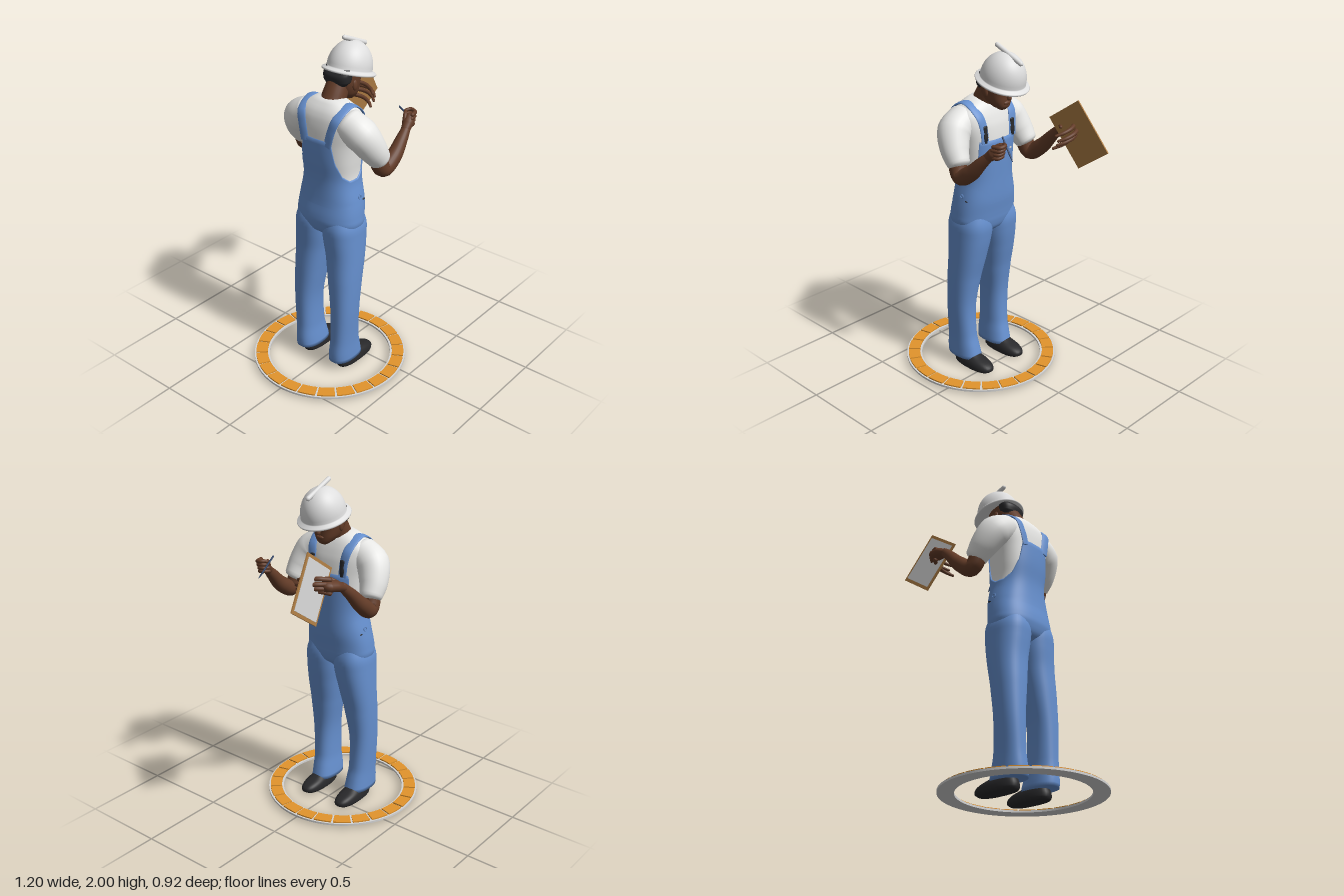
import * as THREE from 'three';

const mat = (name, color) => Object.assign(new THREE.MeshStandardMaterial({ color }), { name });
const M = {
  denim: mat('denim blue', 0x6690cf), shirt: mat('shirt white', 0xe8e8e6), skin: mat('skin brown', 0x633c28),
  hat: mat('hat white', 0xdedede), orange: mat('ring orange', 0xe2942c), grey: mat('light grey', 0xd4d4d4),
  dark: mat('black', 0x28282a), board: mat('board brown', 0xae7d44), pen: mat('pen blue', 0x33486c),
};
M.denim.side = THREE.DoubleSide;
const V = (x, y, z) => new THREE.Vector3(x, y, z);

function add(parent, name, geometry, material) {
  const m = new THREE.Mesh(geometry, material);
  m.name = name;
  parent.add(m);
  return m;
}

// Smooth surface from closed rings of points
function skinRings(rings) {
  const n = rings[0].length, pos = [], idx = [];
  rings.forEach(r => r.forEach(p => pos.push(p.x, p.y, p.z)));
  for (let i = 0; i < rings.length - 1; i++) for (let j = 0; j < n; j++) {
    const a = i * n + j, c = i * n + (j + 1) % n;
    idx.push(a, a + n, c, a + n, c + n, c);
  }
  const g = new THREE.BufferGeometry();
  g.setAttribute('position', new THREE.Float32BufferAttribute(pos, 3));
  g.setIndex(idx);
  g.computeVertexNormals();
  return g;
}

// Smoothly interpolated row [y, xBack, xFront, zMin, zMax] at height y
function rowAt(rows, y) {
  let i = 0;
  while (i < rows.length - 2 && y > rows[i + 1][0]) i++;
  const at = k => rows[Math.max(0, Math.min(rows.length - 1, k))];
  const t = Math.min(1, Math.max(0, (y - rows[i][0]) / (rows[i + 1][0] - rows[i][0])));
  return rows[i].map((b, k) => {
    const c = at(i + 1)[k], a = at(i - 1)[k], d = at(i + 2)[k];
    return b + 0.5 * t * (c - a + t * (2 * a - 5 * b + 4 * c - d + t * (3 * (b - c) + d - a)));
  });
}

const POW = 0.82;
const pw = c => Math.sign(c) * Math.abs(c) ** POW;
function onRow(rows, y, th, grow = 0) {
  const [, xb, xf, z0, z1] = rowAt(rows, y);
  return V((xb + xf) / 2 + ((xf - xb) / 2 + grow) * pw(Math.cos(th)), y,
    (z0 + z1) / 2 + ((z1 - z0) / 2 + grow) * pw(Math.sin(th)));
}

// Upright capped loft through rows
function loft(rows, steps = 32, cols = 40) {
  const y0 = rows[0][0], y1 = rows[rows.length - 1][0], rings = [];
  for (let i = 0; i <= steps; i++) {
    const y = y0 + (y1 - y0) * i / steps;
    rings.push(Array.from({ length: cols }, (_, j) => onRow(rows, y, j / cols * Math.PI * 2)));
  }
  const close = r => {
    const c = r.reduce((s, p) => s.add(p), V(0, 0, 0)).divideScalar(cols);
    return r.map(() => c.clone());
  };
  return skinRings([close(rings[0]), ...rings, close(rings[steps])]);
}

// Tapered sweep through [x, y, z, radius]; cap sets end roundness, flat squashes the section
function limb(pts, { cap = 1, flat = 1, cols = 16, steps = 6 } = {}) {
  const curve = new THREE.CatmullRomCurve3(pts.map(p => V(p[0], p[1], p[2])));
  const n = (pts.length - 1) * steps, rings = [];
  let u = Math.abs(curve.getTangent(0).z) > 0.85 ? V(0, 1, 0) : V(0, 0, 1);
  const ring = (c, t, r) => {
    u = u.clone().addScaledVector(t, -u.dot(t)).normalize();
    const v = u.clone().cross(t);
    rings.push(Array.from({ length: cols }, (_, j) => {
      const a = j / cols * Math.PI * 2;
      return c.clone().addScaledVector(u, r * Math.cos(a)).addScaledVector(v, r * flat * Math.sin(a));
    }));
  };
  const end = (s, dir, r, angles) => angles.forEach(d => {
    const a = d * Math.PI / 180, t = curve.getTangent(s);
    ring(curve.getPoint(s).addScaledVector(t, dir * cap * r * flat * Math.sin(a)), t, r * Math.cos(a));
  });
  end(0, -1, pts[0][3], [90, 60, 30]);
  for (let i = 0; i <= n; i++) {
    const f = i / steps, k = Math.min(pts.length - 2, Math.floor(f));
    ring(curve.getPoint(i / n), curve.getTangent(i / n), THREE.MathUtils.lerp(pts[k][3], pts[k + 1][3], f - k));
  }
  end(1, 1, pts[pts.length - 1][3], [30, 60, 90]);
  return skinRings(rings);
}

const ball = (x, y, z, rx, ry, rz) => new THREE.SphereGeometry(1, 24, 16).scale(rx, ry, rz).translate(x, y, z);
const sym = rows => rows.map(([y, b, f, z]) => [y, b, f, -z, z]);

const torso = sym([[1.0, -0.25, 0.01, 0.2], [1.1, -0.235, 0.02, 0.185], [1.23, -0.228, 0.022, 0.16], [1.35, -0.24, 0.024, 0.168],
  [1.45, -0.243, 0.024, 0.18], [1.54, -0.24, 0.014, 0.2], [1.6, -0.23, -0.004, 0.2], [1.64, -0.212, -0.022, 0.165],
  [1.668, -0.188, -0.042, 0.118], [1.686, -0.168, -0.07, 0.07]]);
const hips = sym([[0.87, -0.19, -0.05, 0.12], [0.91, -0.235, -0.005, 0.18], [0.96, -0.253, 0.011, 0.205],
  [1.0, -0.255, 0.016, 0.206], [1.1, -0.24, 0.027, 0.193], [1.23, -0.233, 0.028, 0.166]]);
const leg = [[0.06, -0.262, -0.036, 0.055, 0.2], [0.1, -0.264, -0.045, 0.058, 0.2], [0.2, -0.256, -0.068, 0.068, 0.2],
  [0.4, -0.253, -0.074, 0.066, 0.21], [0.6, -0.248, -0.047, 0.038, 0.215], [0.75, -0.243, -0.014, 0.014, 0.214],
  [0.88, -0.25, 0.008, -0.008, 0.21], [0.95, -0.25, 0.011, -0.01, 0.205], [1.04, -0.225, -0.01, 0.01, 0.175]];
const shoe = [[0, -0.205, 0.055, 0.08, 0.18], [0.012, -0.212, 0.074, 0.07, 0.19], [0.035, -0.212, 0.074, 0.07, 0.19],
  [0.055, -0.205, 0.045, 0.075, 0.185], [0.075, -0.195, -0.02, 0.085, 0.175], [0.1, -0.19, -0.07, 0.09, 0.17]];

// Top edge of the overalls by angle from the front, in degrees
const edge = [[0, 1.46], [44, 1.46], [50, 1.36], [65, 1.27], [85, 1.235], [105, 1.235], [125, 1.27], [142, 1.355], [154, 1.48], [180, 1.48]];
function edgeHeight(deg) {
  const k = Math.max(1, edge.findIndex(e => e[0] >= deg)), [a, b] = [edge[k - 1], edge[k]];
  return THREE.MathUtils.lerp(a[1], b[1], (deg - a[0]) / (b[0] - a[0]));
}
function overallsTop() {
  const rings = [], cols = 144;
  for (let i = 0; i <= 18; i++) rings.push(Array.from({ length: cols }, (_, j) => {
    const th = j / cols * Math.PI * 2, deg = Math.min(j, cols - j) / cols * 360;
    const t = Math.min(i, 17) / 17;
    return onRow(torso, 1.08 + (edgeHeight(deg) - 1.08) * t, th, i === 18 ? -0.004 : 0.007);
  }));
  return skinRings(rings);
}

// Point just outside the shirt at height y and offset z, front (1) or back (-1)
function onShirt(y, z, dir, r) {
  const [, xb, xf, , rz] = rowAt(torso, y);
  const s = Math.min(1, Math.abs(z) / rz) ** (1 / POW);
  return [(xb + xf) / 2 + dir * ((xf - xb) / 2 * Math.sqrt(1 - s * s) ** POW + 0.005), y + 0.003, z, r];
}

function buildBody(g) {
  add(g, 'shirt', loft(torso, 44, 56), M.shirt);
  add(g, 'hips', loft(hips, 32, 56), M.denim);
  add(g, 'overallsBib', overallsTop(), M.denim);
  for (const s of [1, -1]) {
    const flip = rows => s > 0 ? rows : rows.map(([y, b, f, z0, z1]) => [y, b, f, -z1, -z0]);
    add(g, 'trouserLeg', loft(flip(leg), 44), M.denim);
    add(g, 'shoe', loft(flip(shoe), 16), M.dark);
    const w = 0.028;
    add(g, 'shoulderStrap', limb([onShirt(1.45, s * 0.106, 1, w), onShirt(1.53, s * 0.112, 1, w), onShirt(1.6, s * 0.124, 1, w),
      [-0.11, 1.667, s * 0.132, w], onShirt(1.61, s * 0.122, -1, w), onShirt(1.54, s * 0.1, -1, w), onShirt(1.45, s * 0.078, -1, w)],
    { flat: 0.26, cap: 0.3 }), M.denim);
    // Dark metal clip joining strap and bib
    const clip = y => { const p = onShirt(y, s * 0.106, 1, 0); return [p[0] + 0.006, y, p[2]]; };
    add(g, 'strapBuckle', limb([[...clip(1.455), 0.009], [...clip(1.485), 0.016], [...clip(1.515), 0.012], [...clip(1.545), 0.016]], { flat: 0.4 }), M.dark);
    add(g, 'hipButton', new THREE.TorusGeometry(0.011, 0.003, 6, 16).translate(-0.095, 1.13, s * 0.19), M.denim);
    add(g, 'hipRivet', ball(-0.06, 1.105, s * 0.189, 0.011, 0.004, 0.004), M.dark);
    add(g, 'sleeve', limb([[-0.13, 1.572, s * 0.125, 0.09], [-0.118, 1.52, s * 0.215, 0.096], [-0.075, 1.435, s * 0.257, 0.081],
      [-0.03, 1.365, s * 0.272, 0.064]], { cap: 0.35, cols: 28 }), M.shirt);
  }
  add(g, 'bibTag', new THREE.BoxGeometry(0.006, 0.009, 0.014).translate(0.024, 1.385, -0.08), M.grey);
}

function buildHead(g) {
  add(g, 'neck', limb([[-0.12, 1.6, 0, 0.08], [-0.09, 1.67, 0, 0.069], [-0.045, 1.75, 0, 0.064]], { cols: 28 }), M.skin);
  add(g, 'head', loft(sym([[1.634, 0.02, 0.058, 0.022], [1.65, -0.02, 0.074, 0.043], [1.68, -0.06, 0.078, 0.064],
    [1.72, -0.085, 0.08, 0.077], [1.76, -0.1, 0.088, 0.083], [1.82, -0.09, 0.085, 0.083], [1.88, -0.04, 0.05, 0.06]])), M.skin);
  add(g, 'hair', loft(sym([[1.745, -0.1, -0.03, 0.068], [1.765, -0.108, -0.012, 0.083], [1.8, -0.109, 0.0, 0.087], [1.835, -0.085, 0.005, 0.084]])), M.dark);
  add(g, 'nose', limb([[0.078, 1.752, 0, 0.008], [0.091, 1.72, 0, 0.011], [0.091, 1.706, 0, 0.014]]), M.skin);
  add(g, 'lips', ball(0.076, 1.677, 0, 0.01, 0.011, 0.026), M.skin);
  for (const s of [1, -1]) {
    add(g, 'ear', ball(-0.01, 1.738, s * 0.081, 0.017, 0.03, 0.01), M.skin);
    add(g, 'eye', ball(0.073, 1.738, s * 0.034, 0.005, 0.005, 0.012), M.dark);
  }
  // Hard hat tipped forward
  const hat = new THREE.Group();
  hat.name = 'hardHat';
  hat.position.set(0.038, 1.788, 0);
  hat.rotation.z = -0.28;
  const profile = [[0, -0.004], [0.13, -0.006], [0.143, -0.006], [0.146, 0], [0.143, 0.005], [0.124, 0.014]];
  for (let i = 0; i <= 14; i++) {
    const a = i / 14 * Math.PI / 2;
    profile.push([0.122 * Math.cos(a), 0.02 + 0.152 * Math.sin(a)]);
  }
  add(hat, 'hatShell', new THREE.LatheGeometry(profile.map(p => new THREE.Vector2(...p)), 56).scale(1.1, 1, 1), M.hat);
  g.add(hat);
  add(g, 'hatRidge', limb([[0, 1.986, 0, 0.0135], [0.085, 1.95, 0, 0.0135], [0.173, 1.912, 0, 0.0135]]), M.hat);
}

function buildArms(g) {
  // Arm holding the pen
  add(g, 'penArm', limb([[-0.06, 1.42, 0.262, 0.052], [-0.008, 1.302, 0.28, 0.049], [0.08, 1.345, 0.285, 0.045],
    [0.155, 1.42, 0.281, 0.034], [0.205, 1.468, 0.274, 0.025]], { cols: 24 }), M.skin);
  add(g, 'penPalm', limb([[0.195, 1.46, 0.275, 0.026], [0.23, 1.49, 0.267, 0.032], [0.252, 1.515, 0.262, 0.026]]), M.skin);
  for (let i = 0; i < 4; i++) {
    const y = 1.465 + i * 0.021, x = 0.238 + i * 0.006;
    add(g, 'penFinger', limb([[x - 0.01, y + 0.008, 0.283, 0.0115], [x + 0.03, y + 0.01, 0.272, 0.0115],
      [x + 0.034, y + 0.016, 0.24, 0.0105], [x + 0.008, y + 0.014, 0.224, 0.009]]), M.skin);
  }
  add(g, 'penThumb', limb([[0.215, 1.49, 0.255, 0.014], [0.238, 1.53, 0.24, 0.012], [0.268, 1.54, 0.222, 0.009]]), M.skin);
  add(g, 'pen', limb([[0.235, 1.567, 0.202, 0.005], [0.31, 1.483, 0.22, 0.005], [0.33, 1.461, 0.225, 0.002]], { cols: 10 }), M.pen);

  // Arm holding the clipboard
  add(g, 'clipboardArm', limb([[-0.06, 1.42, -0.262, 0.052], [-0.008, 1.302, -0.282, 0.049], [0.08, 1.355, -0.288, 0.045],
    [0.16, 1.435, -0.282, 0.034], [0.225, 1.495, -0.272, 0.026]], { cols: 24 }), M.skin);
  add(g, 'clipboardPalm', limb([[0.215, 1.487, -0.273, 0.028], [0.27, 1.51, -0.264, 0.042], [0.325, 1.52, -0.252, 0.042]], { flat: 0.75 }), M.skin);
  for (let i = 0; i < 4; i++) {
    const y = 1.478 + i * 0.025, k = [0.92, 1, 1.02, 0.97][i];
    add(g, 'clipboardFinger', limb([[0.315, y + 0.004, -0.262, 0.0135], [0.375 * k, y + 0.014, -0.23, 0.013],
      [0.403 * k, y + 0.006, -0.17, 0.012], [0.395 * k, y - 0.008, -0.12, 0.0105], [0.37 * k, y - 0.022, -0.085, 0.008]]), M.skin);
  }
  add(g, 'clipboardThumb', limb([[0.235, 1.51, -0.262, 0.015], [0.272, 1.54, -0.222, 0.0135], [0.305, 1.545, -0.185, 0.009]]), M.skin);
}

function buildClipboard(g) {
  const c = new THREE.Group();
  c.name = 'clipboard';
  const n = V(-0.085, 0.1, -1).normalize(), u = V(0.195, 0.135, 0);
  u.addScaledVector(n, -u.dot(n)).normalize();
  c.quaternion.setFromRotationMatrix(new THREE.Matrix4().makeBasis(u, n.clone().cross(u), n));
  c.position.set(0.407, 1.517, -0.216);
  add(c, 'backingBoard', new THREE.BoxGeometry(0.24, 0.327, 0.008), M.board);
  add(c, 'paper', new THREE.BoxGeometry(0.21, 0.29, 0.003).translate(0, 0, 0.0055), M.grey);
  g.add(c);
}

// Flat arc band between two radii, lying in xz
function band(r0, r1, a0, a1, h, y) {
  const s = new THREE.Shape(), full = a1 - a0 > 6;
  s.absarc(0, 0, r1, a0, a1, false);
  if (full) s.holes.push(new THREE.Path().absarc(0, 0, r0, a0, a1, true));
  else s.absarc(0, 0, r0, a1, a0, true);
  return new THREE.ExtrudeGeometry(s, { depth: h, bevelEnabled: false, curveSegments: full ? 96 : 5 })
    .rotateX(-Math.PI / 2).translate(-0.14, y, 0);
}

function buildRing(g) {
  add(g, 'ringBase', band(0.367, 0.459, 0, Math.PI * 2, 0.012, 0.013), M.grey);
  for (let i = 0; i < 24; i++) {
    const a = i * Math.PI / 12;
    add(g, 'ringTile', band(0.379, 0.449, a + 0.014, a + Math.PI / 12 - 0.014, 0.009, 0.024), M.orange);
  }
}

export function createModel() {
  const g = new THREE.Group();
  g.name = 'builderWithClipboard';
  [buildBody, buildHead, buildArms, buildClipboard, buildRing].forEach(f => f(g));
  return g;
}
